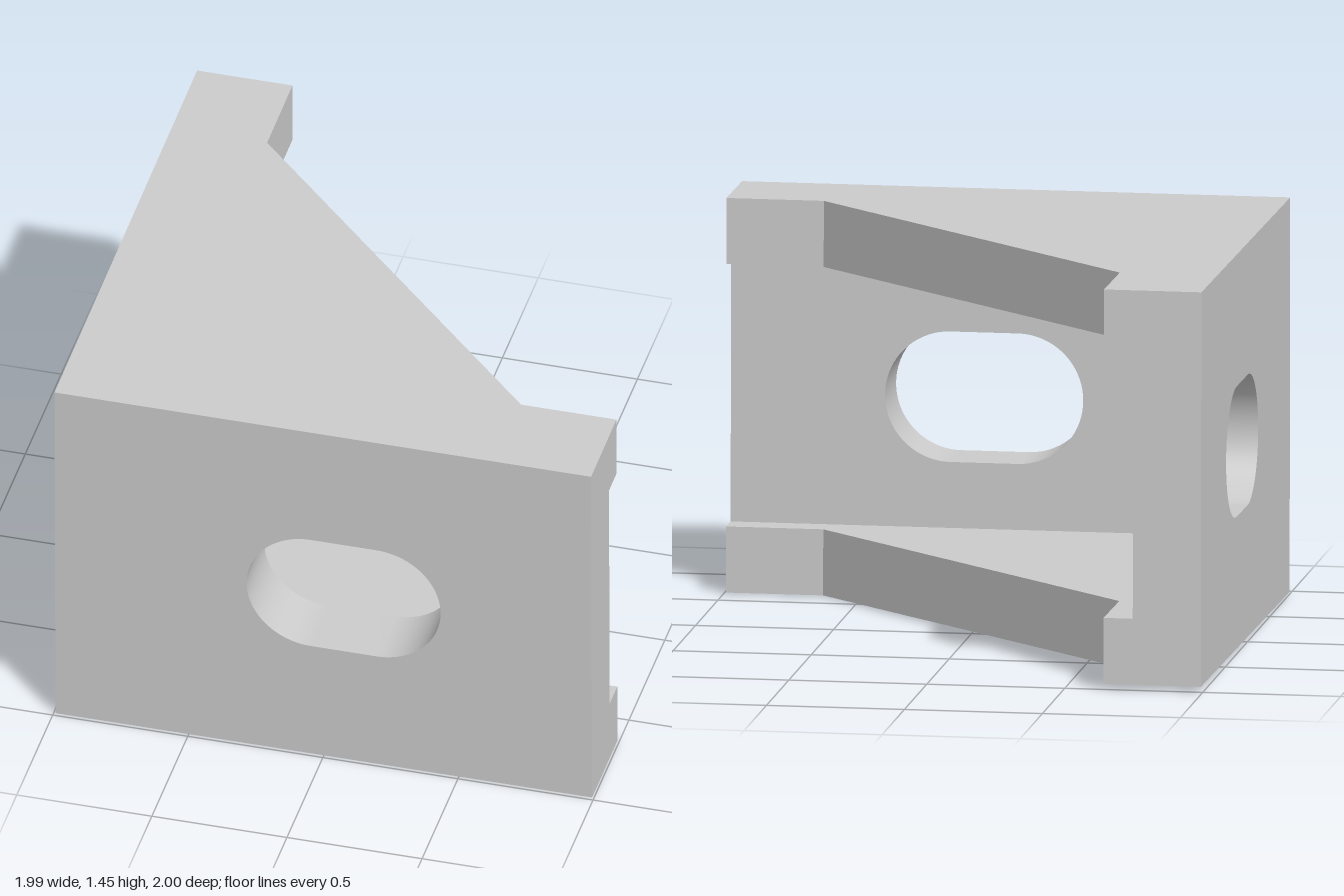
import * as THREE from 'three';
import { toCreasedNormals } from 'three/addons/utils/BufferGeometryUtils.js';

const H = 0.993;        // half of the bracket's width and depth
const HEIGHT = 1.433;
const PLATE = 0.24;     // thickness of the gusset plates
const WALL = 0.247;     // thickness of the two walls
const F = 0.64;         // inner corner of the flange ends

const material = new THREE.MeshStandardMaterial({ color: 0xcccccc });

function extrude(shape, depth) {
  const geometry = new THREE.ExtrudeGeometry(shape, { depth, bevelEnabled: false, curveSegments: 32 });
  return toCreasedNormals(geometry, 0.5);
}

function addPart(group, name, geometry) {
  const mesh = new THREE.Mesh(geometry, material);
  mesh.name = name;
  group.add(mesh);
}

// Upright wall panel with a rounded slot
function slottedWall(xMin, xMax) {
  const shape = new THREE.Shape([
    [xMin, PLATE], [xMax, PLATE], [xMax, HEIGHT - PLATE], [xMin, HEIGHT - PLATE],
  ].map(([x, y]) => new THREE.Vector2(x, y)));
  const slot = new THREE.Path();
  const cx = 0.075, cy = HEIGHT / 2, r = 0.237, half = 0.122;
  slot.absarc(cx + half, cy, r, -Math.PI / 2, Math.PI / 2, false);
  slot.absarc(cx - half, cy, r, Math.PI / 2, Math.PI * 1.5, false);
  slot.closePath();
  shape.holes.push(slot);
  return extrude(shape, WALL);
}

// Triangular plate with square flange ends, lying flat
function gussetPlate() {
  const shape = new THREE.Shape([
    [-H, -H], [H, -H], [H, -F], [F, -F], [-F, F], [-F, H], [-H, H],
  ].map(([x, y]) => new THREE.Vector2(x, y)));
  return extrude(shape, PLATE).rotateX(-Math.PI / 2);
}

export function createModel() {
  const group = new THREE.Group();
  group.name = 'cornerBracket';

  const body = new THREE.Group();
  body.name = 'bracketBody';
  group.add(body);

  // Gusset plates
  addPart(body, 'bottomGusset', gussetPlate());
  addPart(body, 'topGusset', gussetPlate().translate(0, HEIGHT - PLATE, 0));

  // Walls, meeting in the front corner
  addPart(body, 'frontWall', slottedWall(-H, H).translate(0, 0, H - WALL));
  addPart(body, 'sideWall', slottedWall(-H + WALL, H).rotateY(Math.PI / 2).translate(-H, 0, 0));

  // The bracket leans very slightly forward
  body.rotation.x = 0.01;
  body.position.set(0, 0.01, -0.007);
  return group;
}
